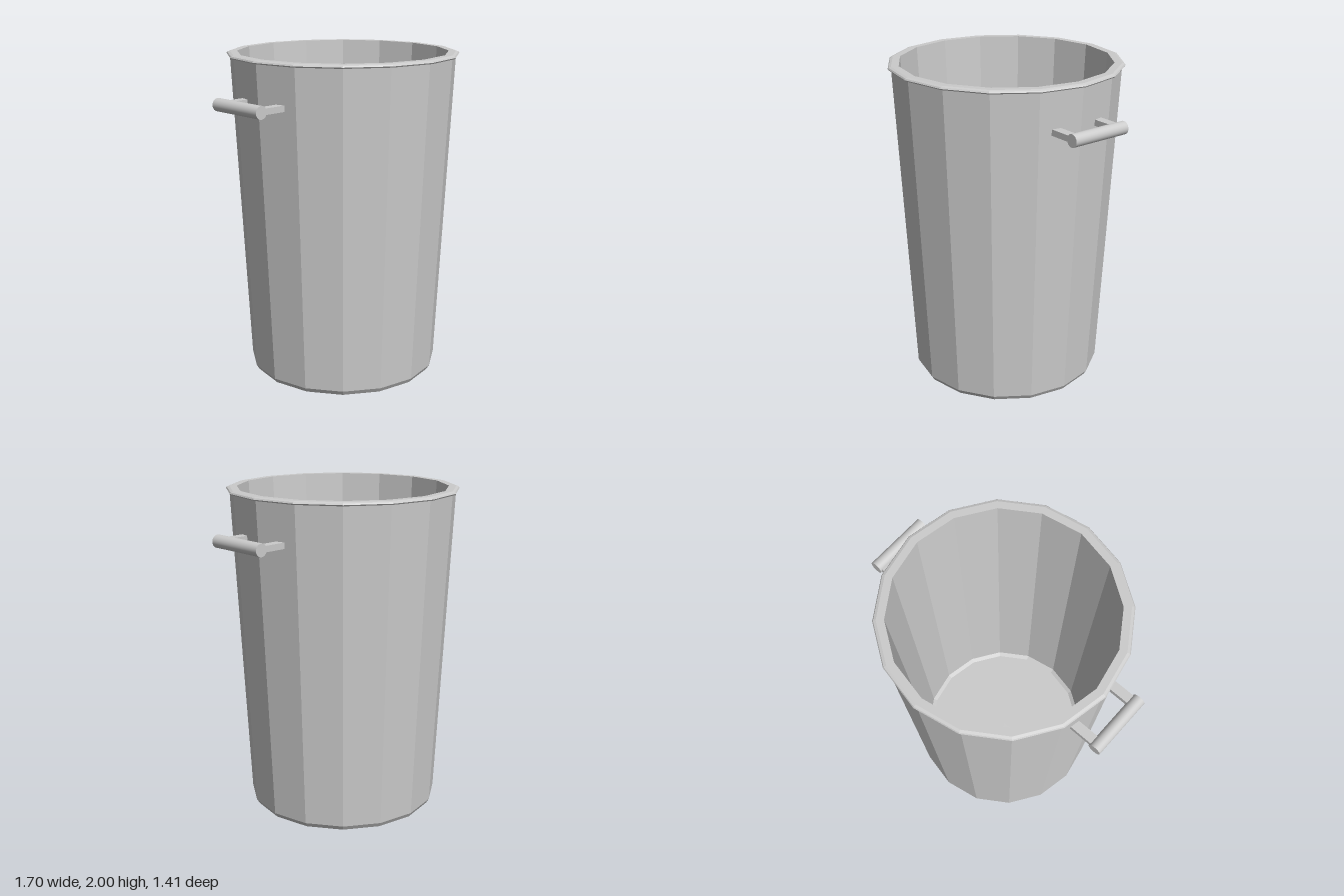
import * as THREE from 'three';

const SIDES = 16;

export function createModel() {
  const model = new THREE.Group();
  const faceted = new THREE.MeshStandardMaterial({ color: 0xcccccc, flatShading: true });
  const smooth = new THREE.MeshStandardMaterial({ color: 0xcccccc });

  // Tapered bin: underside, outer wall, rolled rim, inner wall, floor
  const profile = [
    [0, 0], [0.578, 0], [0.596, 0.03], [0.685, 1.98],
    [0.7, 1.98], [0.705, 1.987], [0.7, 1.995], [0.685, 2],
    [0.64, 2], [0.548, 0.05], [0.525, 0.03], [0, 0.03],
  ].map(([r, y]) => new THREE.Vector2(r, y));
  const bin = new THREE.Mesh(new THREE.LatheGeometry(profile, SIDES), faceted);
  bin.name = 'bin';
  model.add(bin);

  // Side handles: a round grip on two flat struts
  for (const side of [1, -1]) {
    const handle = new THREE.Group();
    handle.name = side > 0 ? 'leftHandle' : 'rightHandle';

    const grip = new THREE.Mesh(new THREE.CylinderGeometry(0.038, 0.038, 0.38, 24), smooth);
    grip.name = 'grip';
    grip.rotation.x = Math.PI / 2;
    grip.position.set(side * 0.812, 1.745, 0);
    handle.add(grip);

    for (const z of [0.153, -0.153]) {
      const strut = new THREE.Mesh(new THREE.BoxGeometry(0.155, 0.036, 0.056), faceted);
      strut.name = 'strut';
      strut.position.set(side * 0.715, 1.745, z);
      handle.add(strut);
    }
    model.add(handle);
  }
  return model;
}
